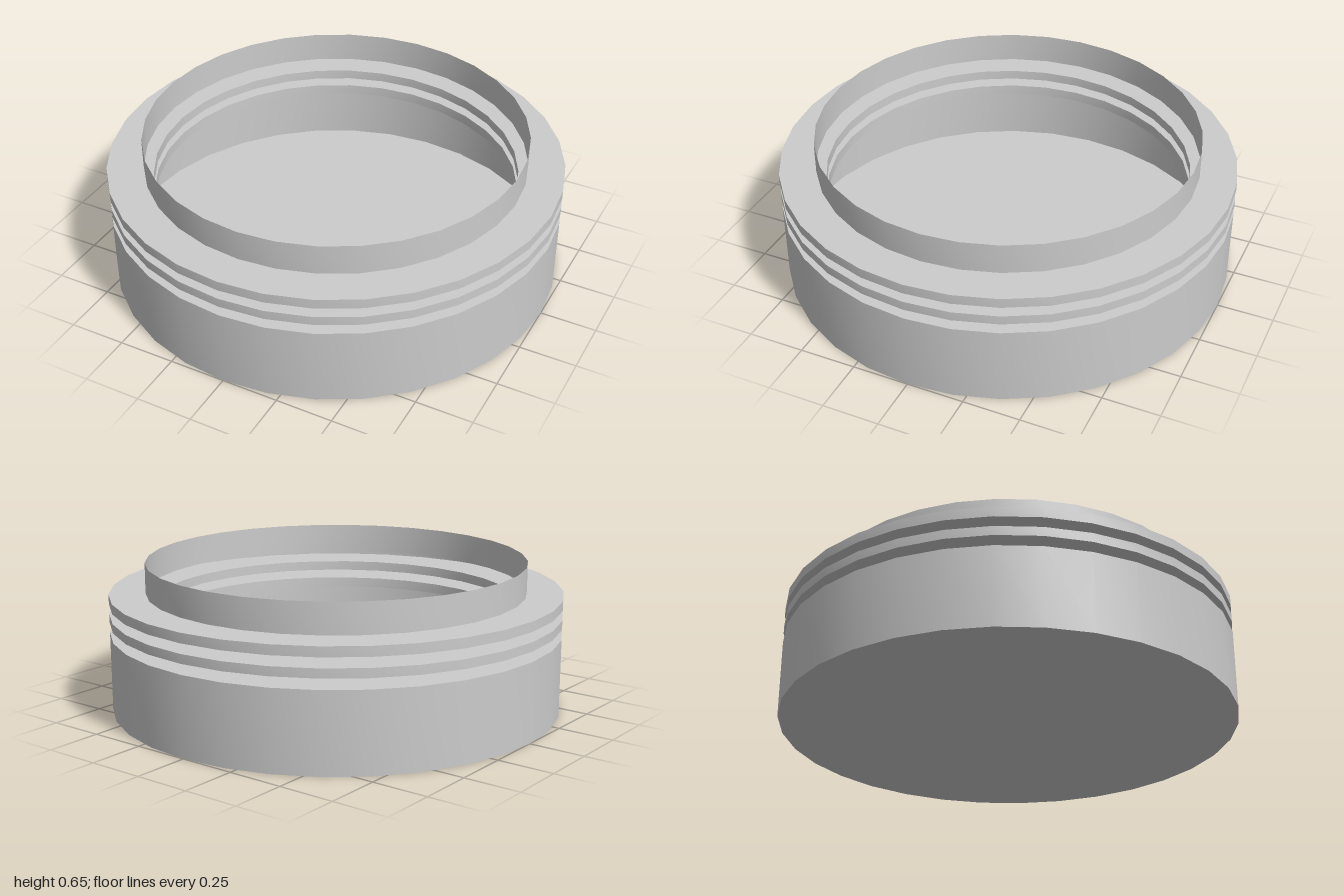
import * as THREE from 'three';
import { toCreasedNormals } from 'three/addons/utils/BufferGeometryUtils.js';

const SIDES = 32;
const OUTER = 1, GROOVE = 0.8, COLLAR = 0.84;

export function createModel() {
  const model = new THREE.Group();
  model.name = 'ribbedBowl';
  const material = new THREE.MeshStandardMaterial({ color: 0xcccccc, side: THREE.DoubleSide });

  // Thin sheet revolved around y from [radius, height] pairs
  function addShell(name, profile) {
    const points = profile.map(([r, y]) => new THREE.Vector2(r, y));
    const geometry = toCreasedNormals(new THREE.LatheGeometry(points, SIDES), Math.PI / 6);
    const mesh = new THREE.Mesh(geometry, material);
    mesh.name = name;
    model.add(mesh);
  }

  // Closed floor
  const floor = new THREE.Mesh(new THREE.CircleGeometry(OUTER, SIDES), material);
  floor.rotation.x = Math.PI / 2;
  floor.name = 'floor';
  model.add(floor);

  // Base wall with its inward shoulder
  addShell('base', [[OUTER, 0], [OUTER, 0.348], [GROOVE, 0.348]]);

  // Lower rib: groove wall, then a hollow flange open to the inside
  addShell('lowerRib', [[GROOVE, 0.348], [GROOVE, 0.393], [OUTER, 0.393], [OUTER, 0.433], [GROOVE, 0.433]]);

  // Upper rib, ending where the collar rises
  addShell('upperRib', [[GROOVE, 0.433], [GROOVE, 0.476], [OUTER, 0.476], [OUTER, 0.519], [COLLAR, 0.519]]);

  // Open neck at the top
  addShell('collar', [[COLLAR, 0.519], [COLLAR, 0.653]]);

  return model;
}
